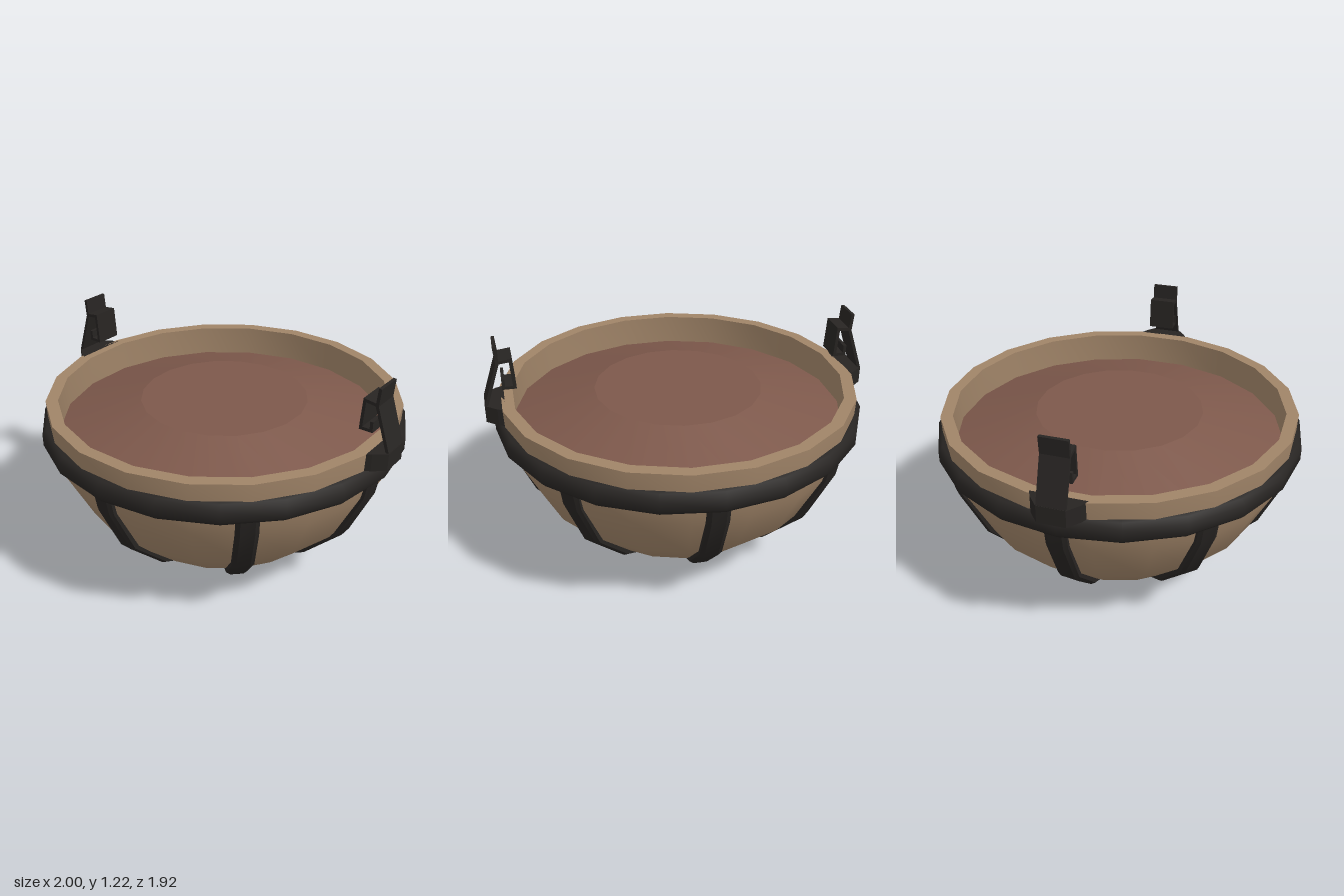
import * as THREE from 'three';
import { toCreasedNormals, mergeVertices } from 'three/addons/utils/BufferGeometryUtils.js';

const SIDES = 20;
const TWIST = -0.018; // bowl, hoop and hangers sit slightly turned
const RIB_TWIST = -0.04;

const clay = new THREE.MeshStandardMaterial({ color: 0xa08468 });
const soilMat = new THREE.MeshStandardMaterial({ color: 0x7d584b });
const iron = new THREE.MeshStandardMaterial({ color: 0x272422 });

function part(name, geometry, material) {
  const mesh = new THREE.Mesh(geometry, material);
  mesh.name = name;
  return mesh;
}

// Turned part with 20 sides, smooth around and sharp at real edges
function turned(name, profile, phase, crease, material) {
  const points = profile.map(([r, y]) => new THREE.Vector2(r, y));
  const geo = new THREE.LatheGeometry(points, SIDES, phase);
  geo.deleteAttribute('uv');
  geo.deleteAttribute('normal');
  return part(name, toCreasedNormals(mergeVertices(geo), crease), material);
}

// Unit normals (to the right of travel) along an open 2D path, mitred at corners
function pathNormals(path) {
  const pts = path.map(([x, y]) => new THREE.Vector2(x, y));
  const dirs = pts.slice(1).map((p, i) => p.clone().sub(pts[i]).normalize());
  return pts.map((p, i) => {
    const a = dirs[Math.max(i - 1, 0)];
    const b = dirs[Math.min(i, dirs.length - 1)];
    const n = new THREE.Vector2(a.y + b.y, -a.x - b.x).normalize();
    return n.divideScalar(n.x * a.y - n.y * a.x);
  });
}

// Flat strip of metal bent along a path in the xy plane
function bentStrip(path, thickness, width) {
  const normals = pathNormals(path);
  const side = (s) => path.map(([x, y], i) => new THREE.Vector2(
    x + normals[i].x * s * thickness / 2, y + normals[i].y * s * thickness / 2));
  const shape = new THREE.Shape([...side(1), ...side(-1).reverse()]);
  return new THREE.ExtrudeGeometry(shape, { depth: width, bevelEnabled: false })
    .translate(0, 0, -width / 2);
}

// Rib: bevelled bar swept along the outside of the bowl, in the xy plane
function ribGeometry(path) {
  const normals = pathNormals(path);
  const section = [[-0.04, -0.055], [-0.012, -0.055], [0, -0.035],
    [0, 0.035], [-0.012, 0.055], [-0.04, 0.055]];
  const n = section.length;
  const pos = [];
  const index = [];
  path.forEach(([x, y], i) => section.forEach(([out, z]) =>
    pos.push(x + normals[i].x * out, Math.max(0, y + normals[i].y * out), z)));
  for (let i = 0; i < path.length - 1; i++) {
    for (let j = 0; j < n; j++) {
      const a = i * n + j, b = i * n + (j + 1) % n;
      index.push(a, a + n, b, b, a + n, b + n);
    }
  }
  const last = (path.length - 1) * n;
  for (let j = 1; j < n - 1; j++) {
    index.push(0, j, j + 1, last, last + j + 1, last + j);
  }
  const geo = new THREE.BufferGeometry();
  geo.setAttribute('position', new THREE.Float32BufferAttribute(pos, 3));
  geo.setIndex(index);
  return toCreasedNormals(geo, 0.5);
}

function createHanger(name) {
  const hanger = new THREE.Group();
  hanger.name = name;

  // Wedge-shaped bracket standing on the hoop
  const plan = new THREE.Shape([[0.9, -0.14], [0.94, -0.12], [1.0, -0.07],
    [1.0, 0.07], [0.94, 0.12], [0.9, 0.14]].map(([x, z]) => new THREE.Vector2(x, z)));
  const bracket = new THREE.ExtrudeGeometry(plan, { depth: 0.09, bevelEnabled: false })
    .rotateX(-Math.PI / 2).translate(0, 0.82, 0);
  hanger.add(part('bracket', bracket, iron));

  // Leaning upright strip and the curled hook branching from it
  const upright = [[0.99, 0.84], [0.99, 0.91], [0.917, 1.13], [0.925, 1.22]];
  const curl = [[0.917, 1.135], [0.853, 1.143], [0.843, 0.997], [0.898, 0.997], [0.898, 1.045]];
  hanger.add(part('hangerUpright', bentStrip(upright, 0.016, 0.14), iron));
  hanger.add(part('hangerHook', bentStrip(curl, 0.016, 0.14), iron));
  return hanger;
}

export function createModel() {
  const model = new THREE.Group();
  model.name = 'hangingPlanter';

  // Bowl with a thick rim
  model.add(turned('bowl', [[0, 0.012], [0.27, 0.012], [0.545, 0.155], [0.76, 0.36],
    [0.89, 0.62], [0.922, 0.76], [0.928, 0.91], [0.865, 0.91], [0.865, 0.72]],
  Math.PI / SIDES + TWIST, 0.7, clay));

  // Mounded soil with a flat middle
  model.add(turned('soil', [[0.865, 0.75], [0.44, 0.88], [0, 0.88]],
    Math.PI / SIDES + TWIST, 0.2, soilMat));

  // Iron frame: hoop, base plate and eight ribs
  model.add(turned('hoop', [[0.89, 0.71], [0.938, 0.71], [0.96, 0.735], [0.96, 0.795],
    [0.938, 0.82], [0.89, 0.82], [0.89, 0.71]], TWIST, 0.9, iron));
  model.add(turned('basePlate', [[0, 0], [0.29, 0], [0.29, 0.03], [0, 0.03]],
    TWIST, 0.5, iron));

  const ribs = new THREE.Group();
  ribs.name = 'ribs';
  const ribGeo = ribGeometry([[0.29, 0], [0.565, 0.135], [0.785, 0.35], [0.91, 0.62], [0.935, 0.76]]);
  for (let i = 0; i < 8; i++) {
    const rib = part('rib', ribGeo, iron);
    rib.rotation.y = RIB_TWIST + i * Math.PI / 4;
    ribs.add(rib);
  }
  model.add(ribs);

  // Opposite hangers
  ['leftHanger', 'rightHanger'].forEach((name, i) => {
    const hanger = createHanger(name);
    hanger.rotation.y = TWIST + i * Math.PI;
    model.add(hanger);
  });
  return model;
}
